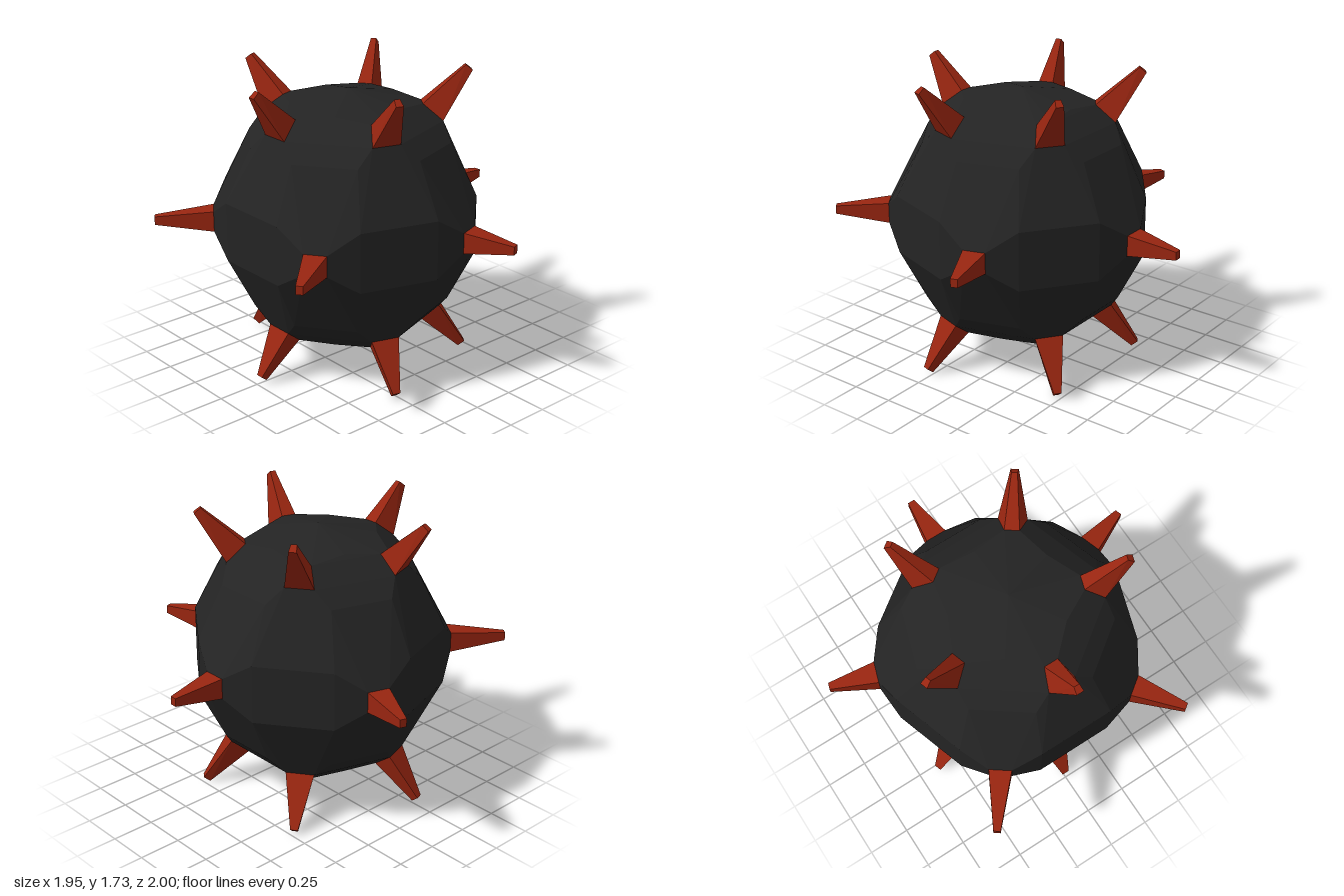
import * as THREE from 'three';
import { ConvexGeometry } from 'three/addons/geometries/ConvexGeometry.js';

const deg = Math.PI / 180;

// point from angle, radius, height and sideways offset
function polar(angle, r, y, side = 0) {
  const c = Math.cos(angle * deg), s = Math.sin(angle * deg);
  return new THREE.Vector3(r * c - side * s, y, r * s + side * c);
}

// four corners: inner/outer edge given as [radius, height, half width]
function quad(angle, a, b) {
  return [a, b].flatMap(([r, y, w]) => [polar(angle, r, y, w), polar(angle, r, y, -w)]);
}

export function createModel() {
  const group = new THREE.Group();
  group.name = 'spikedBall';
  const dark = new THREE.MeshStandardMaterial({ color: 0x242424, flatShading: true });
  const red = new THREE.MeshStandardMaterial({ color: 0x982510, flatShading: true });

  const add = (name, points, material) => {
    const mesh = new THREE.Mesh(new ConvexGeometry(points), material);
    mesh.name = name;
    mesh.position.set(-0.07, 0.857, 0.008);
    group.add(mesh);
  };

  const bodyPoints = [];

  // five spikes around the middle
  [1.05, 1.045, 1.08, 1.1, 1.045].forEach((length, i) => {
    const a = i * 72;
    const base = quad(a, [0.767, 0.06, 0.064], [0.767, -0.06, 0.064]);
    const tip = quad(a, [length, 0.024, 0.02], [length, -0.024, 0.02]);
    bodyPoints.push(...base);
    add('middleSpike' + (i + 1), [...base, ...tip], red);
  });

  // five upper and five lower spikes, set halfway between the middle ones
  for (const s of [1, -1]) {
    [0.02, 0.01, 0, 0.01, 0.02].forEach((extra, i) => {
      const a = 36 + i * 72;
      const base = quad(a, [0.41, 0.655 * s, 0.042], [0.52, 0.565 * s, 0.082]);
      const tip = quad(a, [0.63 + extra, (0.845 + extra) * s, 0.016],
        [0.667 + extra, (0.815 + extra) * s, 0.022]);
      bodyPoints.push(...base);
      add((s > 0 ? 'upperSpike' : 'lowerSpike') + (i + 1), [...base, ...tip], red);
    });

    // faceted body rings and pole
    for (let i = 0; i < 10; i++) {
      bodyPoints.push(polar(18 + 36 * i, 0.73, 0.17 * s), polar(18 + 36 * i, 0.58, 0.47 * s));
      if (i % 2 === 0) bodyPoints.push(polar(36 * i, 0.33, 0.675 * s));
    }
    bodyPoints.push(new THREE.Vector3(0, 0.746 * s, 0));
  }

  add('body', bodyPoints, dark);
  return group;
}
